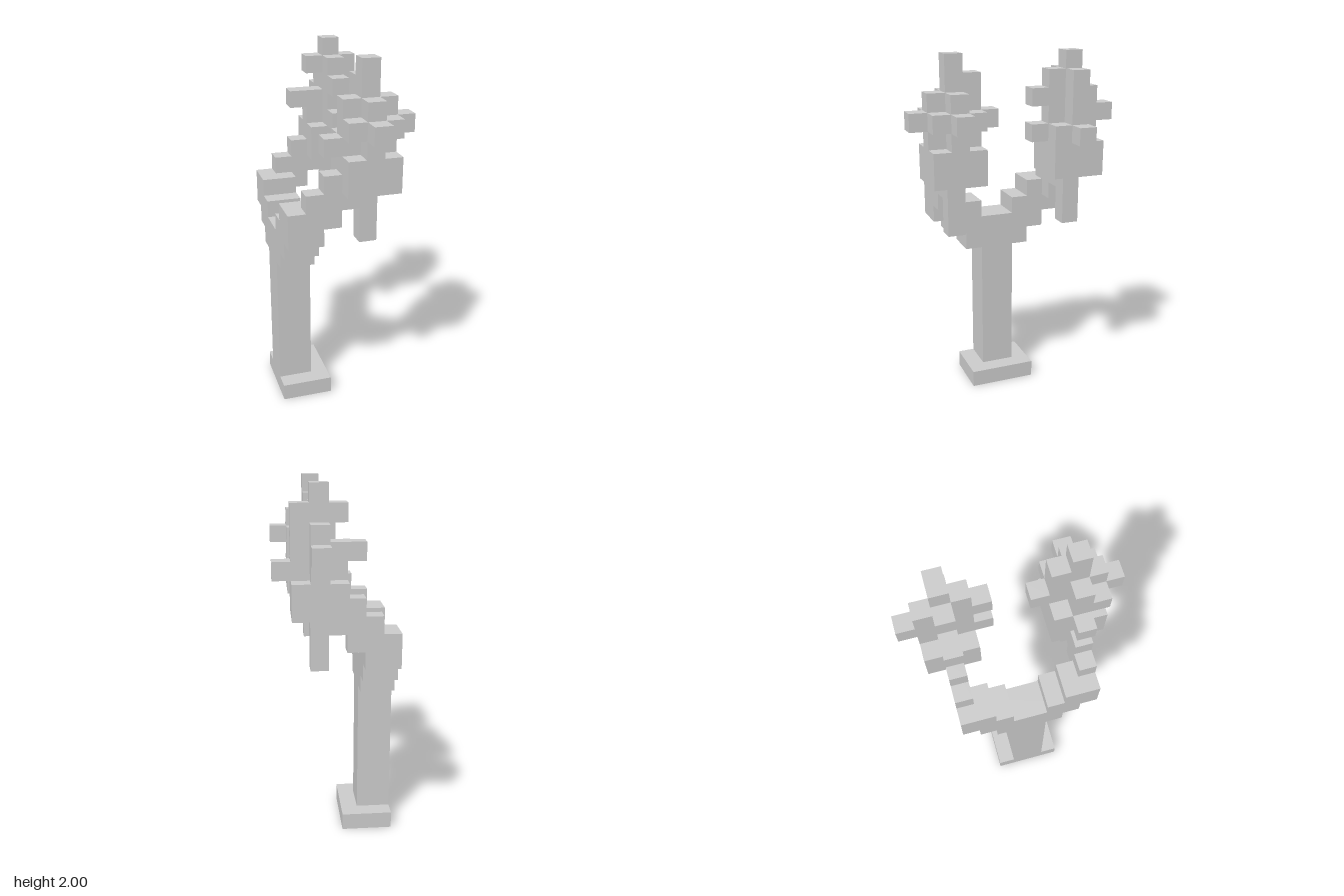
import * as THREE from 'three';

const U = 2 / 21; // one block
const material = new THREE.MeshStandardMaterial({ color: 0xcccccc, flatShading: true });

// Box between two grid corners: x counts from the right edge, z from the centre
function block(parent, name, x0, y0, z0, x1, y1, z1) {
  const mesh = new THREE.Mesh(new THREE.BoxGeometry((x1 - x0) * U, (y1 - y0) * U, (z1 - z0) * U), material);
  mesh.name = name;
  mesh.position.set(((x0 + x1) / 2 - 3.5) * U, ((y0 + y1) / 2) * U, ((z0 + z1) / 2) * U);
  parent.add(mesh);
}

// Column of blocks standing on cell (x, z); s = 1 front, -1 back, z measured outward
function column(parent, name, s, x, z, y0, y1) {
  const z0 = s > 0 ? z : -z - 1;
  block(parent, name, x, y0, z0, x + 1, y1, z0 + 1);
}

// Flame cells: [x, outward z, bottom, top]
const frontFlame = [
  [4, 3, 16, 21], [3, 3, 16, 19], [5, 3, 16, 19], [4, 4, 16, 19], [4, 2, 16, 20],
  [3, 4, 17, 18], [5, 4, 17, 18], [5, 2, 17, 18], [3, 2, 16, 17],
  [2, 3, 16, 17], [6, 3, 17, 18], [4, 5, 17, 18], [4, 1, 17, 18],
];
const backFlame = [
  [4, 3, 16, 21], [3, 3, 16, 18], [3, 3, 19, 20], [5, 3, 16, 20], [4, 4, 16, 19], [4, 2, 16, 20],
  [5, 2, 16, 17],
  [2, 3, 17, 18], [6, 3, 16, 17], [4, 5, 17, 18], [4, 1, 16, 17], [4, 1, 18, 19],
];

export function createModel() {
  const model = new THREE.Group();
  model.name = 'twinTorchStand';

  // Foot, post and the start of the fork
  block(model, 'base', 0, 0, -2, 3, 1, 2);
  block(model, 'post', 0, 1, -1, 2, 9, 1);
  block(model, 'forkLower', 0, 9, -2, 2, 10, 2);
  block(model, 'forkUpper', 0, 10, -3, 2, 11, 3);

  for (const s of [1, -1]) {
    const side = s > 0 ? 'front' : 'back';
    const torch = new THREE.Group();
    torch.name = side + 'Torch';
    model.add(torch);
    const span = (name, x0, y0, z0, x1, y1, z1) =>
      block(torch, name, x0, y0, s > 0 ? z0 : -z1, x1, y1, s > 0 ? z1 : -z0);

    // Stepped arm rising outward, then forward to the cup
    span('armStep', 0, 11, 1, 2, 12, 4);
    span('armElbow', 0, 12, 2, 2, 13, 4);
    span('armReach', 2, 12, 3, 3, 13, 4);
    span('armRise', 1, 13, 3, 4, 14, 4);
    span('armTip', 2, 14, 3, 3, 15, 4);

    // Handle hanging below the cup
    span('handle', 4, 11, 3, 5, 14, 4);
    span('cup', 3, 14, 2, 6, 16, 5);

    // Flame
    for (const [x, z, y0, y1] of s > 0 ? frontFlame : backFlame) {
      column(torch, 'flame', s, x, z, y0, y1);
    }
  }
  return model;
}
